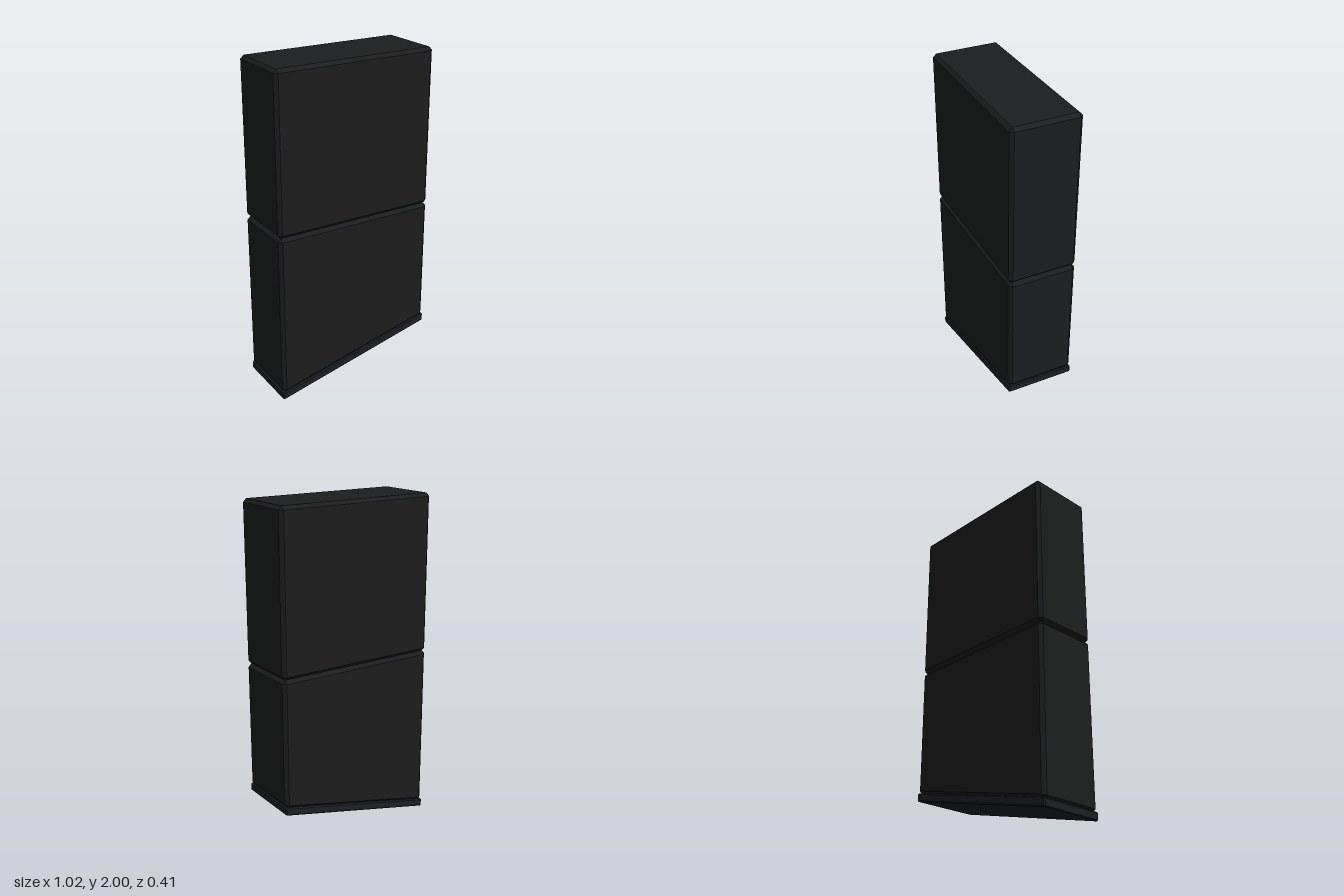
import * as THREE from 'three';
import { ConvexGeometry } from 'three/addons/geometries/ConvexGeometry.js';

const SLOPE = 0.232; // rise of the slanted base along x

// Box with chamfered edges; bottom and top heights are given at x = 0 and may be slanted along x
function chamferedBlock(name, { halfX, halfZ, bottom, top, bottomSlope = 0, topSlope = 0, chamfer, color }) {
  const points = [];
  const add = (x, z, isTop, inset) => {
    const y = isTop ? top - inset + topSlope * x : bottom + inset + bottomSlope * x;
    points.push(new THREE.Vector3(x, y, z));
  };
  for (const sx of [-1, 1]) for (const sz of [-1, 1]) for (const isTop of [false, true]) {
    add(sx * halfX, sz * (halfZ - chamfer), isTop, chamfer);
    add(sx * (halfX - chamfer), sz * halfZ, isTop, chamfer);
    add(sx * (halfX - chamfer), sz * (halfZ - chamfer), isTop, 0);
  }
  const material = new THREE.MeshStandardMaterial({ color, flatShading: true });
  const mesh = new THREE.Mesh(new ConvexGeometry(points), material);
  mesh.name = name;
  return mesh;
}

export function createModel() {
  const model = new THREE.Group();
  model.name = 'stackedBlocks';

  // Upper straight block
  model.add(chamferedBlock('upperBlock', {
    halfX: 0.507, halfZ: 0.206, bottom: 1.05, top: 2, chamfer: 0.02, color: 0x1c1d1e,
  }));

  // Lower block with slanted underside
  model.add(chamferedBlock('lowerBlock', {
    halfX: 0.507, halfZ: 0.206, bottom: 0.16, top: 1.05, bottomSlope: SLOPE, chamfer: 0.02, color: 0x1c1d1e,
  }));

  // Thin slanted plate under the lower block
  model.add(chamferedBlock('basePlate', {
    halfX: 0.509, halfZ: 0.207, bottom: 0.116, top: 0.167, bottomSlope: SLOPE, topSlope: SLOPE,
    chamfer: 0.007, color: 0x1c1f26,
  }));

  return model;
}
